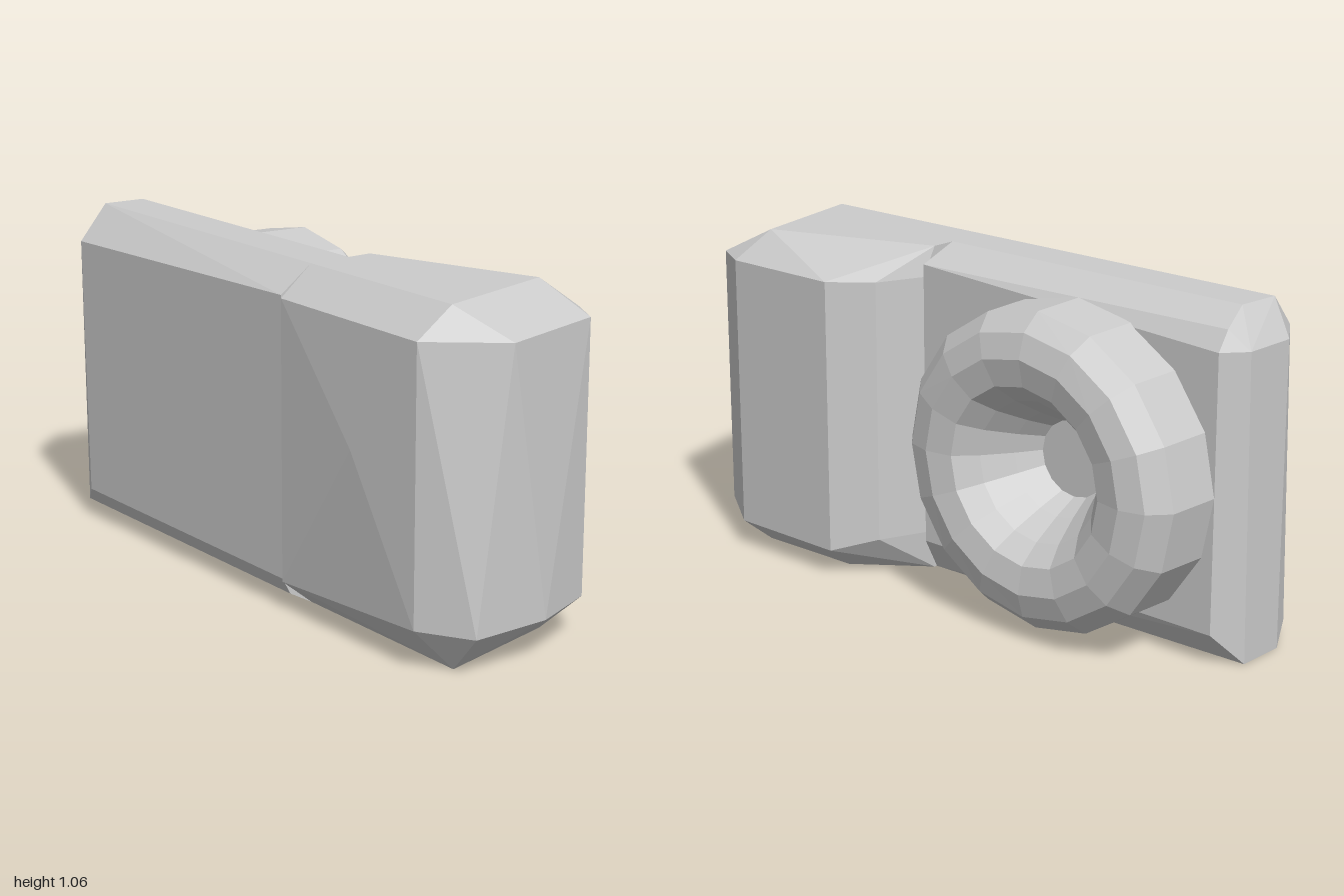
import * as THREE from 'three';
import { ConvexGeometry } from 'three/addons/geometries/ConvexGeometry.js';

const material = new THREE.MeshStandardMaterial({ color: 0xcccccc, flatShading: true, side: THREE.DoubleSide });

function part(name, geometry) {
  const mesh = new THREE.Mesh(geometry, material);
  mesh.name = name;
  return mesh;
}

// Faceted solid wrapped around horizontal outlines: [height, [[x, z], ...]]
function hull(levels) {
  const points = levels.flatMap(([y, outline]) => outline.map(([x, z]) => new THREE.Vector3(x, y, z)));
  return new ConvexGeometry(points);
}

// Thin body slab with chamfered edges and a gently sloping top
function makeBody() {
  return part('body', hull([
    [0, [[0.2, 0.2], [-1, 0.18], [-1, 0.02], [0.2, -0.02]]],
    [0.045, [[0.2, 0.28], [-0.95, 0.28]]],
    [0.1, [[0.2, 0.31], [-0.89, 0.31], [-0.94, -0.07], [0.2, -0.07]]],
    [0.95, [[-0.91, 0.31], [-1, 0.18], [-1, 0], [-0.94, -0.07]]],
    [0.98, [[0.2, 0.31]]],
    [1.01, [[-0.94, -0.03], [0.2, -0.07]]],
    [1.06, [[0.2, 0.2], [-0.93, 0.2], [-0.92, 0.06], [0.2, 0.06]]],
  ]));
}

// Deep grip block with a wide rounded back
function makeGrip() {
  const back = [[0.91, -0.255], [0.79, -0.32], [0.38, -0.32], [0.26, -0.22], [0.2, -0.07]];
  return part('grip', hull([
    [0, [[0.2, 0.2], [0.87, 0.2], [0.78, -0.21], [0.42, -0.2], [0.2, -0.03]]],
    [0.09, [[0.2, 0.31], [0.79, -0.32], [0.38, -0.32]]],
    [0.13, [[0.83, 0.315], [0.99, 0.22], [0.99, -0.04], ...back]],
    [0.6, [[0.56, 0.333]]],
    [0.97, [[0.2, 0.31], [0.83, 0.315], [1, 0.11], ...back]],
    [1.06, [[0.2, 0.2], [0.84, 0.2], [0.74, -0.21], [0.2, -0.02]]],
  ]));
}

// Thick ring on the back of the body: radius and height from the slab
function makeRing() {
  const profile = [
    [0.52, 0.06], [0.515, 0.24], [0.46, 0.3],
    [0.38, 0.322], [0.29, 0.305], [0.23, 0.24], [0.17, 0.15], [0.12, 0.06],
  ].map(([r, h]) => new THREE.Vector2(r, h));
  const geometry = new THREE.LatheGeometry(profile, 16);
  geometry.rotateX(-Math.PI / 2);
  // slightly squashed, with a higher crest on the outer side
  const p = geometry.attributes.position;
  for (let i = 0; i < p.count; i++) {
    p.setXYZ(i, p.getX(i), p.getY(i) * 0.95, p.getZ(i) * (1 - 0.06 * p.getX(i)));
  }
  geometry.computeVertexNormals();
  const ring = part('backRing', geometry);
  ring.position.set(-0.42, 0.52, 0);
  return ring;
}

export function createModel() {
  const model = new THREE.Group();
  model.name = 'handheldDevice';
  model.add(makeBody(), makeGrip(), makeRing());
  return model;
}
